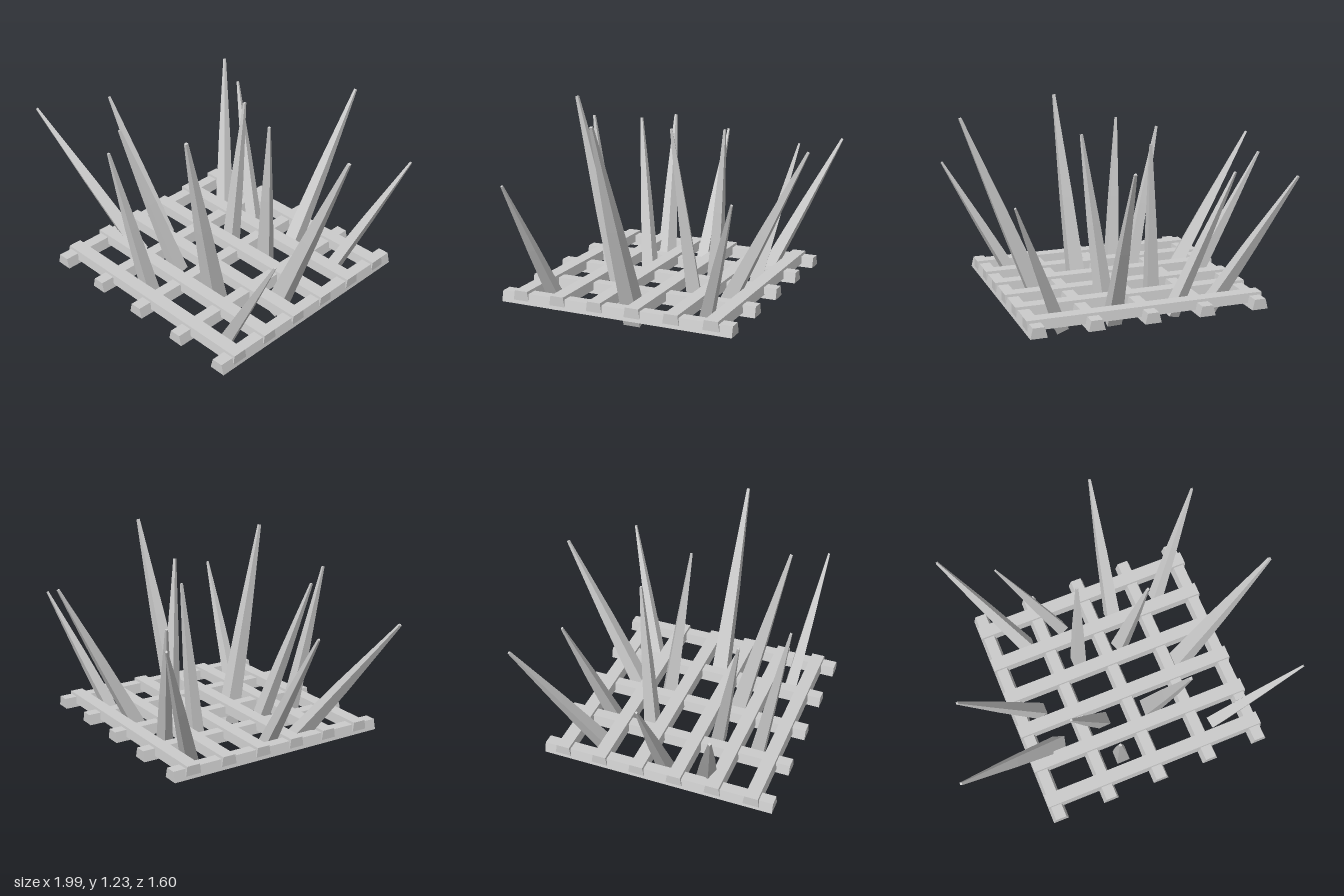
import * as THREE from 'three';

const material = new THREE.MeshStandardMaterial({ color: 0xcccccc, flatShading: true });

// Bar along z with a trapezoid section: wide at the bottom, narrower on top.
function barGeometry(length, bottom, top, height) {
  const s = new THREE.Shape();
  s.moveTo(-bottom / 2, 0);
  s.lineTo(bottom / 2, 0);
  s.lineTo(top / 2, height);
  s.lineTo(-top / 2, height);
  s.closePath();
  const g = new THREE.ExtrudeGeometry(s, { depth: length, bevelEnabled: false });
  g.translate(0, 0, -length / 2);
  return g;
}

// Square stake with slightly bulging taper, standing on the origin.
function spikeGeometry(length, width) {
  const g = new THREE.CylinderGeometry(1, 1, length, 4, 2);
  g.rotateY(Math.PI / 4);
  g.translate(0, length / 2, 0);
  const p = g.attributes.position;
  for (let i = 0; i < p.count; i++) {
    const t = p.getY(i) / length;
    const w = (t < 0.25 ? 1 : t < 0.75 ? 0.65 : 0.16) * width * Math.SQRT1_2;
    p.setX(i, p.getX(i) * w);
    p.setZ(i, p.getZ(i) * w);
  }
  g.computeVertexNormals();
  return g;
}

export function createModel() {
  const model = new THREE.Group();
  const add = (parent, geometry, name) => {
    const m = new THREE.Mesh(geometry, material);
    m.name = name;
    parent.add(m);
    return m;
  };

  // Lattice of lower and upper bars
  const lattice = new THREE.Group();
  lattice.name = 'lattice';
  model.add(lattice);
  const lower = barGeometry(1.38, 0.095, 0.065, 0.06);
  for (let i = 0; i < 5; i++) {
    add(lattice, lower, 'lowerBar').position.set(-0.538 + i * 0.321, 0.145, 0.11);
  }
  const upper = barGeometry(1.375, 0.095, 0.078, 0.055);
  for (let i = 0; i < 6; i++) {
    const bar = add(lattice, upper, 'upperBar');
    bar.rotation.y = Math.PI / 2;
    bar.position.set(0.103, 0.165, -0.463 + i * 0.228);
  }

  // Spikes: base point, tip point, roll about the axis
  const spikes = [
    [-0.325, 0.09, -0.32, -0.69, 0.92, -0.685, 0],
    [-0.09, 0.1, -0.35, -0.4, 0.93, -0.51, 0.3],
    [0.245, 0.09, -0.31, 0.29, 1.03, -0.795, 0],
    [0.55, 0.09, -0.325, 0.86, 0.86, -0.6, 0],
    [-0.065, 0.07, -0.115, -0.03, 1.05, -0.19, 0],
    [0.22, 0.08, -0.12, 0.32, 1.1, -0.02, 0.4],
    [-0.405, 0.095, 0.11, -0.865, 0.89, 0.13, 0],
    [0.52, 0.045, 0.11, 0.975, 1.21, 0.105, 0],
    [-0.375, 0.1, 0.345, -0.995, 0.93, 0.57, -0.35],
    [-0.075, 0.1, 0.31, -0.335, 1.02, 0.49, 0],
    [0.245, 0.02, 0.31, 0.3, 1.24, 0.575, 0],
    [-0.05, 0.065, 0.55, -0.15, 1.05, 0.72, 0],
    [0.56, 0.08, 0.565, 0.985, 0.86, 0.64, 0.2],
  ];
  const group = new THREE.Group();
  group.name = 'spikes';
  model.add(group);
  const up = new THREE.Vector3(0, 1, 0);
  for (const [bx, by, bz, tx, ty, tz, roll] of spikes) {
    const axis = new THREE.Vector3(tx - bx, ty - by, tz - bz);
    const length = axis.length();
    const spike = add(group, spikeGeometry(length, length * 0.08), 'spike');
    spike.position.set(bx, by, bz);
    spike.quaternion.setFromUnitVectors(up, axis.normalize());
    spike.rotateY(roll);
  }
  return model;
}
